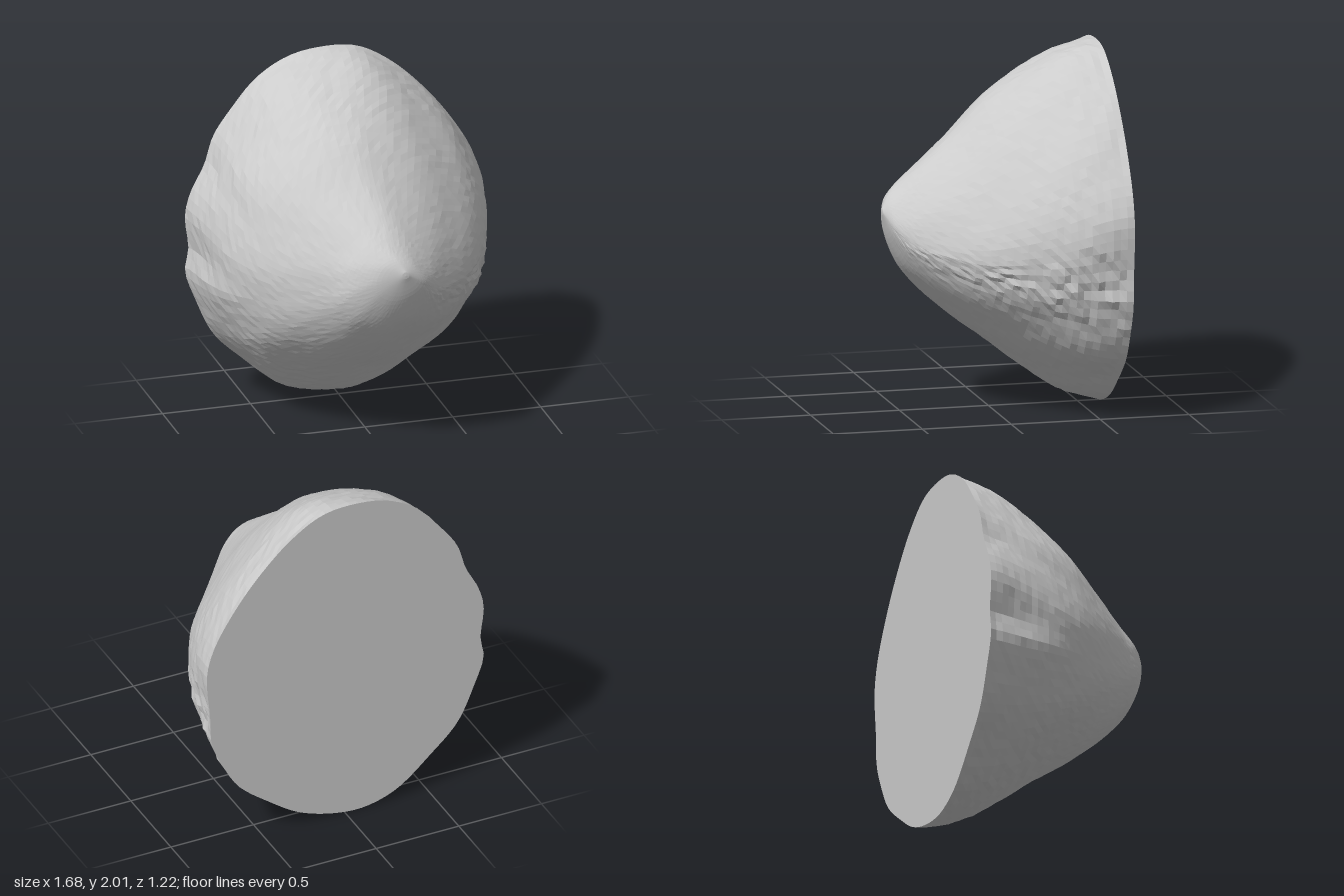
import * as THREE from 'three';

const SEG = 104, RINGS = 44;

// Outline of the flat back face, clockwise from the top
const outline = [
  [-.12, 2], [.13, 1.99], [.33, 1.88], [.54, 1.68], [.7, 1.47], [.8, 1.29], [.84, 1.13],
  [.82, .86], [.81, .68], [.75, .53], [.65, .36], [.46, .2], [.28, .08], [.06, .01],
  [-.12, 0], [-.31, .06], [-.52, .23], [-.68, .39], [-.78, .6], [-.84, .78], [-.82, .9],
  [-.84, 1.1], [-.81, 1.23], [-.73, 1.39], [-.68, 1.55], [-.57, 1.71], [-.44, 1.86], [-.28, 1.96],
];

// Extents of the rock from back to tip: z, top, bottom, left edge, right edge
const stations = [
  [-.61, 2, 0, -.845, .84], [-.4, 1.94, .07, -.8, .81], [-.2, 1.83, .2, -.75, .75],
  [0, 1.69, .35, -.66, .65], [.2, 1.5, .5, -.52, .51], [.4, 1.34, .68, -.33, .34],
  [.5, 1.26, .8, -.24, .25], [.57, 1.2, .95, -.12, .17], [.61, 1.14, 1.1, .03, .07],
];

// Repeatable value in -1..1 for a grid cell
function hash(i, j) {
  const s = Math.sin(i * 127.1 + j * 311.7) * 43758.5453;
  return (s - Math.floor(s)) * 2 - 1;
}

// Inner section in a -1..1 box: rounded, with a sagging ridge on the right
function innerSection(a) {
  const c = Math.cos(a), s = Math.sin(a);
  const p = c > 0 ? (s < 0 ? 1.25 : 1.15) : 1.03;
  const u = Math.sign(c) * Math.abs(c) ** p;
  const v = Math.sign(s) * Math.abs(s) ** p;
  return [u - .1 * s * s, v - (c > 0 ? .2 : .12) * c * c];
}

function rockGeometry() {
  const back = new THREE.CatmullRomCurve3(
    outline.map(([x, y]) => new THREE.Vector3(x / .845, y - 1, 0)).reverse(), true)
    .getSpacedPoints(SEG).slice(0, SEG);
  const curve = (a, b) => new THREE.CatmullRomCurve3(
    stations.map(s => new THREE.Vector3(s[a], s[b], s[0])));
  const heights = curve(1, 2), widths = curve(3, 4);

  const pos = [], index = [];
  for (let i = 0; i <= RINGS; i++) {
    const t = i / RINGS;
    const h = heights.getPoint(t), w = widths.getPoint(t);
    const blend = THREE.MathUtils.smoothstep(t, 0, .5);
    for (let j = 0; j < SEG; j++) {
      const a = Math.atan2(back[j].y, back[j].x);
      const [iu, iv] = innerSection(a);
      const u = THREE.MathUtils.lerp(back[j].x, iu, blend);
      const v = THREE.MathUtils.lerp(back[j].y, iv, blend);
      // Chipped surface, roughest along the right-hand ridge
      const ridge = Math.exp(-(((a + .25) / .22) ** 2));
      const chip = i === 0 ? 0 : hash(i, j) * (.004 + .014 * ridge) + .006 * Math.sin(a * 9 + t * 14);
      const k = 1 + chip * Math.min(1, (1 - t) * 6);
      pos.push(
        (w.x + w.y) / 2 + u * k * (w.y - w.x) / 2,
        (h.x + h.y) / 2 + v * k * (h.x - h.y) / 2,
        h.z);
    }
  }
  for (let i = 0; i < RINGS; i++) {
    for (let j = 0; j < SEG; j++) {
      const n = (j + 1) % SEG;
      const a = i * SEG + j, b = i * SEG + n;
      index.push(a, b, b + SEG, a, b + SEG, a + SEG);
    }
  }
  // Close the tip
  const tip = pos.length / 3;
  pos.push(.05, 1.12, .612);
  for (let j = 0; j < SEG; j++) {
    index.push(RINGS * SEG + j, RINGS * SEG + (j + 1) % SEG, tip);
  }
  const g = new THREE.BufferGeometry();
  g.setAttribute('position', new THREE.Float32BufferAttribute(pos, 3));
  g.setIndex(index);
  g.computeVertexNormals();
  return { g, rim: pos.slice(0, SEG * 3) };
}

// Flat cut face closing the back
function backGeometry(rim) {
  const pos = [...rim, 0, 1, -.61], index = [];
  for (let j = 0; j < SEG; j++) index.push(SEG, (j + 1) % SEG, j);
  const g = new THREE.BufferGeometry();
  g.setAttribute('position', new THREE.Float32BufferAttribute(pos, 3));
  g.setIndex(index);
  g.computeVertexNormals();
  return g;
}

export function createModel() {
  const group = new THREE.Group();
  group.name = 'rock';
  const material = new THREE.MeshStandardMaterial({ color: 0xcccccc, flatShading: true });
  const { g, rim } = rockGeometry();
  const dome = new THREE.Mesh(g, material);
  dome.name = 'rockSurface';
  const back = new THREE.Mesh(backGeometry(rim), material);
  back.name = 'flatBack';
  group.add(dome, back);
  return group;
}
